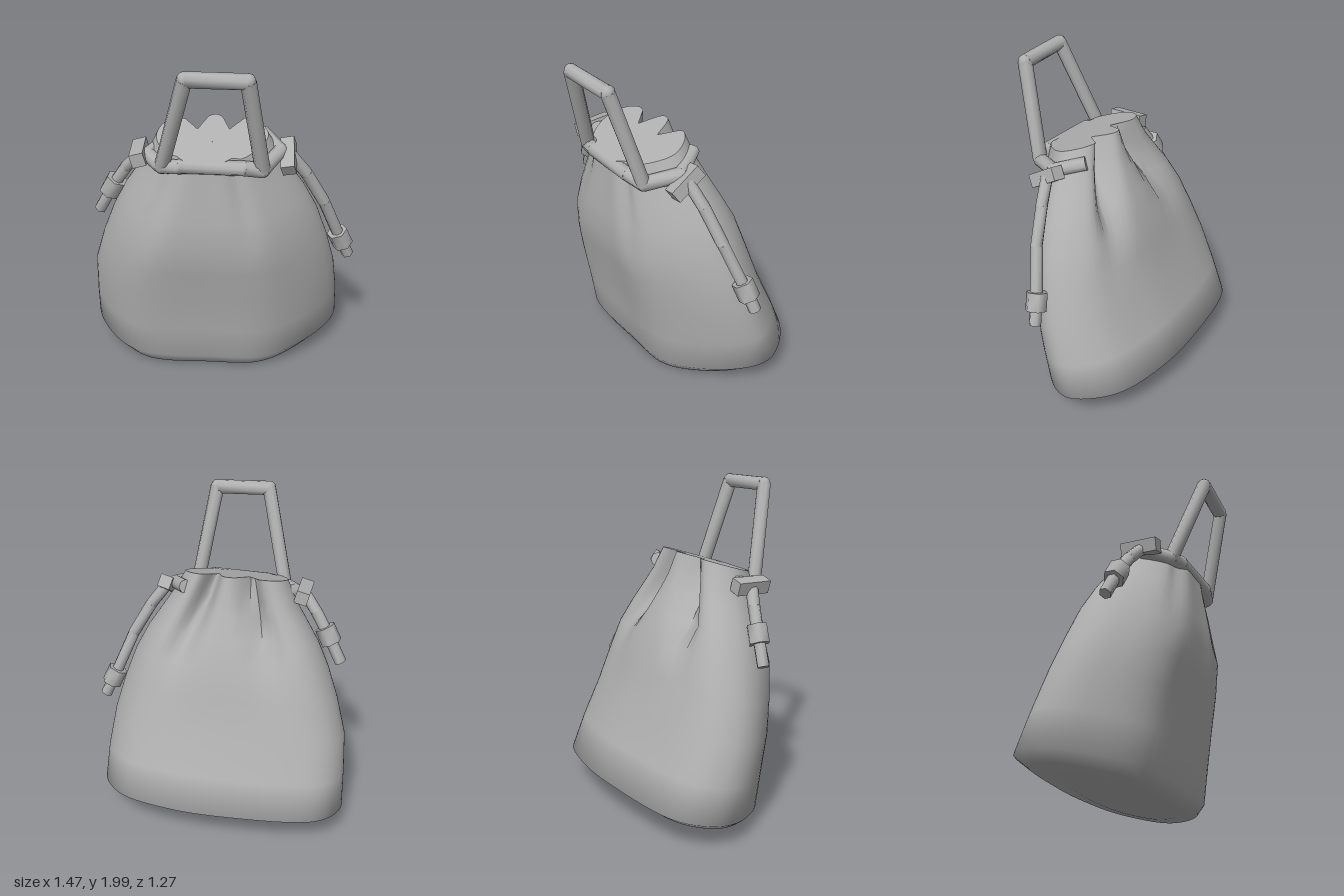
import * as THREE from 'three';
import { toCreasedNormals } from 'three/addons/utils/BufferGeometryUtils.js';

const V = (x, y, z) => new THREE.Vector3(x, y, z);

export function createModel() {
  const bag = new THREE.Group();
  bag.name = 'drawstringBag';
  const grey = new THREE.MeshStandardMaterial({ color: 0xb0b0b0 });
  grey.name = 'grey cloth';

  const add = (geometry, name) => {
    const mesh = new THREE.Mesh(geometry, grey);
    mesh.name = name;
    bag.add(mesh);
    return mesh;
  };

  // Footprint of the sack: flat front, rounder back
  const outline = new THREE.CatmullRomCurve3([
    [0, 1], [0.4, 0.97], [0.72, 0.62], [0.99, 0.02], [1, -0.36], [0.74, -0.87], [0.3, -1.04], [-0.1, -1.02],
    [-0.8, -0.76], [-1, -0.29], [-0.94, 0.32], [-0.58, 0.95],
  ].map(([a, b]) => V(a, 0, b)), true, 'centripetal').getPoints(84).slice(0, 84);

  // Rings: height, slope, half width, side shift, half depth, depth shift, pleat depth
  const bodyRings = [
    [0.04, 0.18, 0.002, -0.03, 0.002, 0.0, 0],
    [0.04, 0.2, 0.45, -0.03, 0.25, 0.01, 0],
    [0.068, 0.2, 0.69, -0.025, 0.36, -0.035, 0],
    [0.13, 0.16, 0.765, -0.025, 0.41, -0.05, 0],
    [0.35, 0.17, 0.755, -0.025, 0.38, 0.01, 0],
    [0.60, 0.20, 0.73, -0.03, 0.345, 0.085, 0],
    [0.82, 0.22, 0.67, -0.025, 0.335, 0.14, 0],
    [1.02, 0.24, 0.60, -0.02, 0.325, 0.185, 0.03],
    [1.18, 0.26, 0.525, -0.02, 0.285, 0.215, 0.09],
    [1.32, 0.28, 0.44, -0.02, 0.25, 0.24, 0.12],
    [1.42, 0.30, 0.38, -0.02, 0.225, 0.255, 0.135],
    [1.555, 0.32, 0.31, -0.025, 0.20, 0.27, 0.14],
  ];
  const last = bodyRings[bodyRings.length - 1];
  const topRings = [last, [1.555, 0.32, 0.002, -0.02, 0.002, 0.30, 0]];

  const turn = 0.56, c = Math.cos(turn), s = Math.sin(turn);
  const bump = (x, w) => Math.exp(-(x * x) / (w * w));
  const ringPoint = ([y, slope, hu, cu, hv, cv, pleat], p) => {
    const u = cu + hu * p.x;
    let v = cv + hv * p.z;
    // Two deep back pleats spread apart downwards; shallow ones at the front
    const spread = 0.4 * Math.max(1.55 - y, 0);
    if (p.z < -0.3) v += pleat * (bump(p.x + 0.32 + spread, 0.15) + bump(p.x - 0.35 - spread * 0.6, 0.15));
    if (p.z > 0.5) v -= 0.25 * pleat * (bump(p.x - 0.4, 0.12) + bump(p.x + 0.6, 0.12));
    // Keep the gathered mouth lower at the front
    const lift = y - slope * (v - (y > 1.5 ? 0.13 : 0.1));
    return [c * u - s * v, Math.max(lift, 0), s * u + c * v];
  };

  const loft = (rings, crease) => {
    const n = outline.length, pos = [], index = [];
    rings.forEach((r) => outline.forEach((p) => pos.push(...ringPoint(r, p))));
    for (let i = 0; i < rings.length - 1; i++) {
      for (let j = 0; j < n; j++) {
        const a = i * n + j, b = i * n + (j + 1) % n;
        index.push(a, b, b + n, a, b + n, a + n);
      }
    }
    const g = new THREE.BufferGeometry();
    g.setAttribute('position', new THREE.Float32BufferAttribute(pos, 3));
    g.setIndex(index);
    return toCreasedNormals(g, crease);
  };
  add(loft(bodyRings, 1.4), 'sack');
  add(loft(topRings, 0.7), 'gatheredTop');

  // Straight closed piece between two points
  const stick = (a, b, r, sides, name) => {
    const g = new THREE.CylinderGeometry(r, r, a.distanceTo(b), sides);
    const mesh = add(toCreasedNormals(g, 1.1), name);
    mesh.position.copy(a).lerp(b, 0.5);
    mesh.quaternion.setFromUnitVectors(V(0, 1, 0), b.clone().sub(a).normalize());
    return mesh;
  };
  // Bent cord with rounded joints
  const cord = (points, r, name) => {
    for (let i = 0; i < points.length - 1; i++) {
      stick(points[i], points[i + 1], r, 8, name);
      if (i > 0) add(new THREE.SphereGeometry(r, 8, 6), name + 'Joint').position.copy(points[i]);
    }
  };

  // Carrying loop and the cord around the neck
  const leftFoot = V(-0.475, 1.4, 0.21), rightFoot = V(0, 1.39, 0.5);
  cord([V(-0.28, 1.46, -0.04), V(-0.49, 1.42, 0.06), leftFoot, V(-0.435, 1.955, 0.43),
    V(-0.15, 1.945, 0.585), rightFoot, V(0.18, 1.43, 0.39), V(0.17, 1.48, 0.2)], 0.043, 'handleCord');
  cord([leftFoot, V(-0.4, 1.41, 0.28), V(-0.1, 1.41, 0.47), rightFoot], 0.043, 'neckCord');

  // Knots, hanging cords, stoppers and tips on each side
  const sides = [
    { name: 'left', knot: [V(0.17, 1.35, 0.5), V(0.26, 1.46, 0.35)],
      path: [V(0.22, 1.42, 0.42), V(0.33, 1.28, 0.44), V(0.45, 1.08, 0.46), V(0.59, 0.8, 0.45)],
      tip: V(0.655, 0.67, 0.455) },
    { name: 'right', knot: [V(-0.58, 1.42, 0.12), V(-0.47, 1.43, -0.07)],
      path: [V(-0.53, 1.42, 0.03), V(-0.58, 1.32, -0.05), V(-0.635, 1.19, -0.12)],
      tip: V(-0.7, 1.02, -0.19) },
  ];
  for (const { name, knot, path, tip } of sides) {
    stick(knot[0], knot[1], 0.056, 4, name + 'Knot');
    cord(path, 0.036, name + 'HangingCord');
    const end = path[path.length - 1];
    const dir = tip.clone().sub(end).normalize();
    stick(end.clone().addScaledVector(dir, -0.05), end.clone().addScaledVector(dir, 0.06), 0.064, 6, name + 'Stopper');
    stick(end, tip, 0.037, 6, name + 'CordTip');
  }
  return bag;
}
